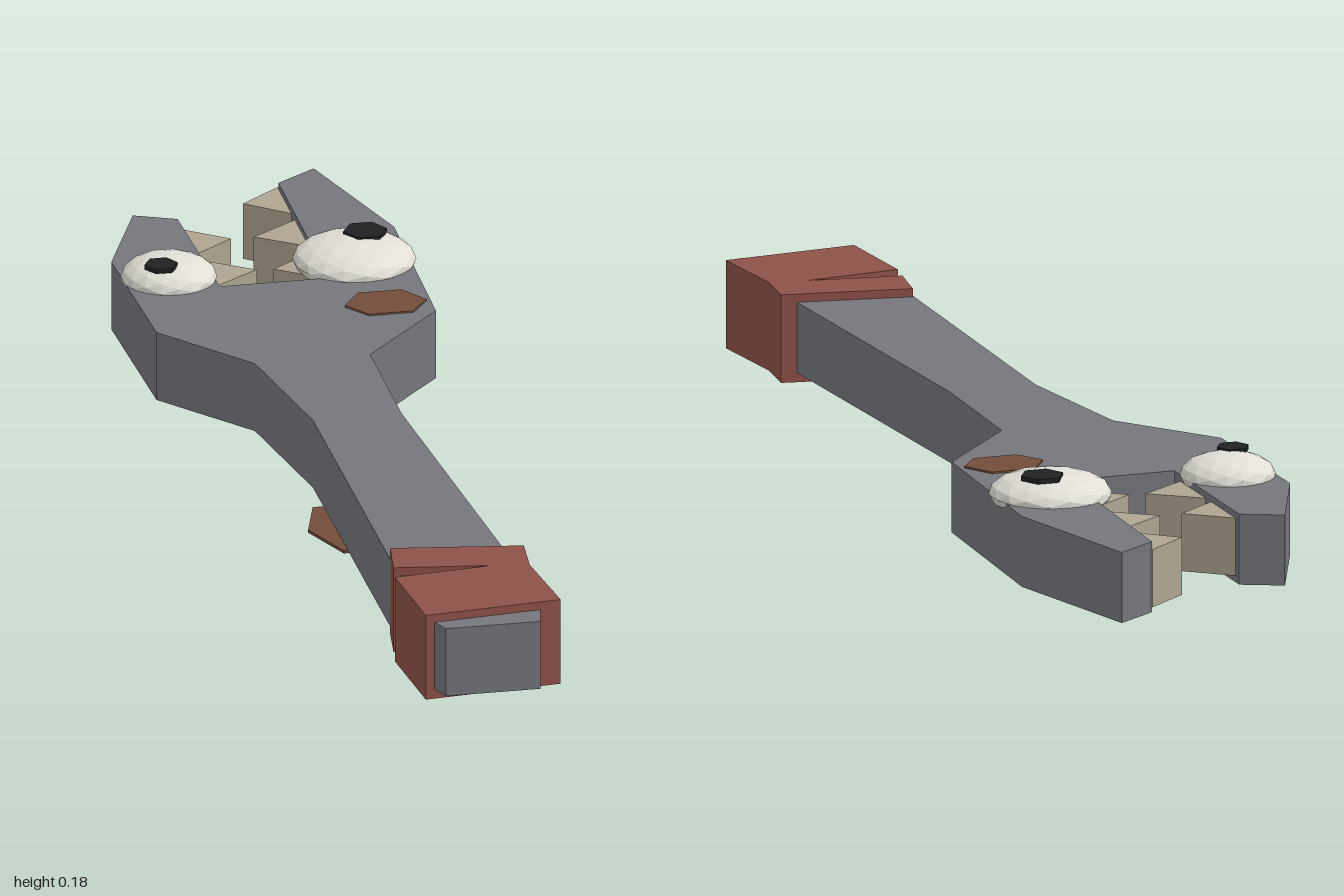
import * as THREE from 'three';

const material = (name, color) => {
  const m = new THREE.MeshStandardMaterial({ color, flatShading: true });
  m.name = name;
  return m;
};

export function createModel() {
  const group = new THREE.Group();
  const steel = material('steel grey', 0x74767c);
  const cloth = material('faded red', 0x8e5148);
  const rust = material('rust brown', 0x724d3a);
  const ivory = material('tooth ivory', 0xaea590);
  const white = material('eye white', 0xe0ded5);
  const black = material('pupil black', 0x1e2022);

  const add = (name, geometry, mat) => {
    const mesh = new THREE.Mesh(geometry, mat);
    mesh.name = name;
    group.add(mesh);
    return mesh;
  };

  // Flat plate: outline as [x, z] pairs, raised from y0 to y1
  const plate = (name, outline, y0, y1, mat) => {
    const shape = new THREE.Shape(outline.map(([x, z]) => new THREE.Vector2(x, -z)));
    const g = new THREE.ExtrudeGeometry(shape, { depth: y1 - y0, bevelEnabled: false });
    g.rotateX(-Math.PI / 2).translate(0, y0, 0);
    return add(name, g, mat);
  };

  // Open-ended wrench with two uneven jaws
  plate('wrenchBody', [
    [0.16, -1], [0.24, -0.725], [0.235, -0.355], [0.09, -0.19], [0.09, 0.07],
    [0.14, 0.7], [0.145, 0.95], [0.135, 1], [-0.025, 1], [-0.045, 0.95],
    [-0.055, 0.7], [-0.06, 0.07], [-0.105, -0.19], [-0.238, -0.355],
    [-0.25, -0.67], [-0.175, -0.86], [-0.105, -0.83], [-0.095, -0.53],
    [0.09, -0.53], [0.09, -0.95],
  ], 0.017, 0.138, steel);

  // Cloth wrap around the handle, split on one side
  plate('handleWrap', [
    [-0.053, 0.672], [0.167, 0.705], [0.16, 0.79], [0.18, 0.947],
    [-0.053, 0.97], [-0.07, 0.797], [0.095, 0.779], [-0.064, 0.757],
  ], 0.001, 0.152, cloth);

  // Teeth: [root x, tip x, z]
  [
    [-0.107, -0.03, -0.755], [-0.1, -0.015, -0.615],
    [0.092, 0.02, -0.9], [0.092, 0.008, -0.755], [0.092, 0.013, -0.612],
  ].forEach(([root, tip, z], i) => {
    plate(`tooth${i + 1}`, [[root, z - 0.06], [tip, z], [root, z + 0.06]], 0.028, 0.127, ivory);
  });

  // Flattened faceted eyes with six-sided pupils
  [
    ['right', -0.17, -0.585, 0.08, -0.19, -0.552, 0.028, 0.174],
    ['left', 0.147, -0.6, 0.103, 0.17, -0.625, 0.037, 0.175],
  ].forEach(([side, x, z, r, px, pz, pr, py]) => {
    const eye = add(`${side}Eye`, new THREE.IcosahedronGeometry(1, 2), white);
    eye.scale.set(r, 0.037, r);
    eye.position.set(x, 0.14, z);
    const pupil = add(`${side}Pupil`, new THREE.CylinderGeometry(pr, pr, 0.008, 6), black);
    pupil.position.set(px, py, pz);
    pupil.rotation.y = Math.PI / 6;
  });

  // Rust patches on the top of the head and under the handle
  plate('topRustPatch', [
    [0.09, -0.4], [0.122, -0.45], [0.197, -0.45], [0.228, -0.4], [0.197, -0.355], [0.122, -0.355],
  ], 0.136, 0.141, rust);
  plate('undersideRustPatch', [
    [-0.105, 0.25], [-0.078, 0.155], [0, 0.155], [0.03, 0.25], [0, 0.35], [-0.065, 0.35],
  ], 0.013, 0.018, rust);

  return group;
}
